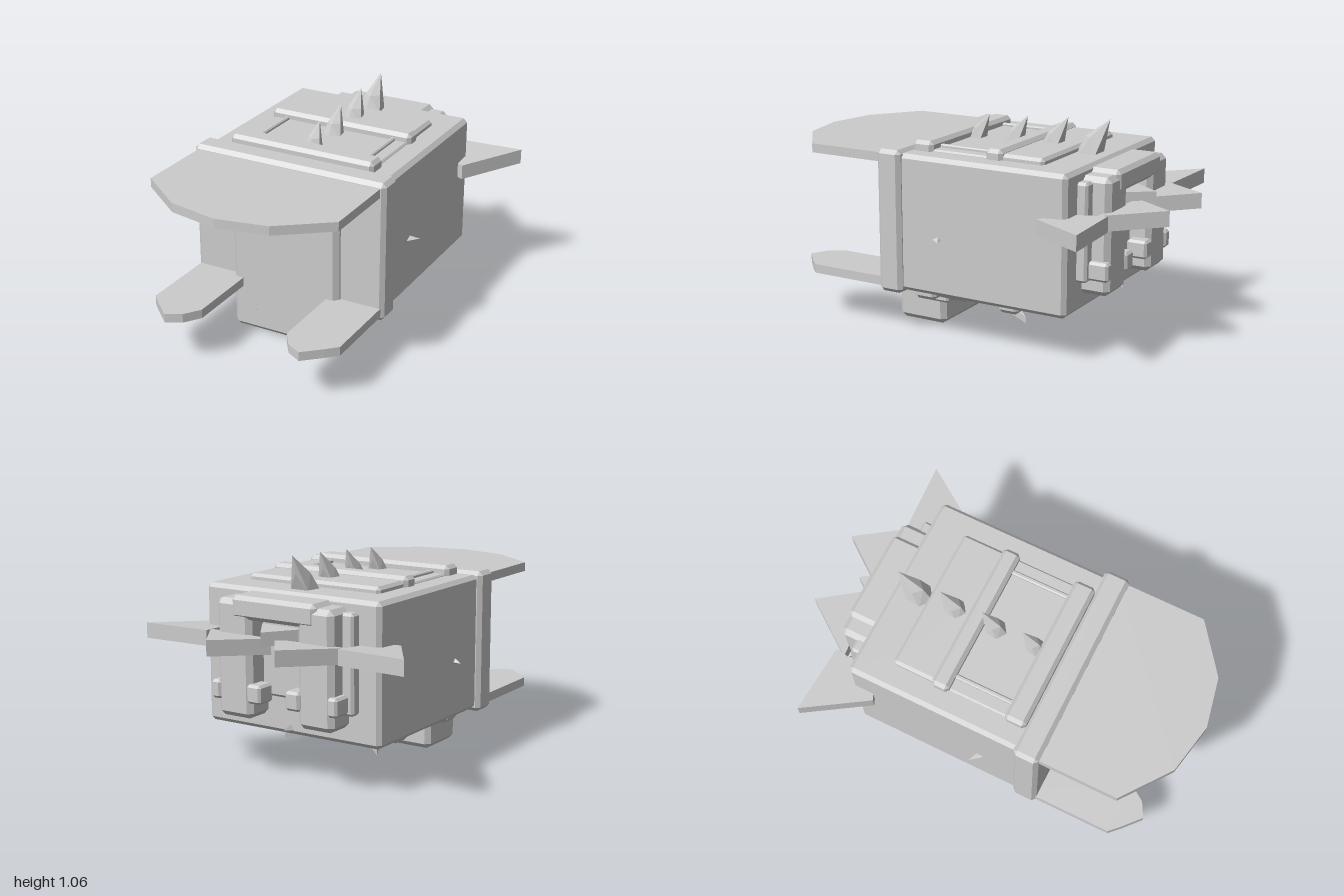
import * as THREE from 'three';
import { ConvexGeometry } from 'three/addons/geometries/ConvexGeometry.js';

export function createModel() {
  const model = new THREE.Group();
  model.name = 'armouredBody';
  const grey = new THREE.MeshStandardMaterial({ color: 0xcccccc, flatShading: true });
  grey.name = 'plain grey';

  const hull = (name, pts) => {
    const mesh = new THREE.Mesh(new ConvexGeometry(pts.map(p => new THREE.Vector3(...p))), grey);
    mesh.name = name;
    model.add(mesh);
    return mesh;
  };

  // Box with chamfered edges, given by its ranges on x, y and z
  const block = (name, x0, x1, y0, y1, z0, z1, c = 0.015) => {
    const pts = [];
    for (const x of [0, 1]) for (const y of [0, 1]) for (const z of [0, 1]) {
      for (let full = 0; full < 3; full++) {
        const inset = [c, c, c];
        inset[full] = 0;
        pts.push([
          x ? x1 - inset[0] : x0 + inset[0],
          y ? y1 - inset[1] : y0 + inset[1],
          z ? z1 - inset[2] : z0 + inset[2],
        ]);
      }
    }
    return hull(name, pts);
  };
  const wide = (name, w, y0, y1, z0, z1, c) => block(name, -w, w, y0, y1, z0, z1, c);

  // Flat plate from an outline of [x, z]; lift(z) gives the underside height
  const plate = (name, outline, lift, t) =>
    hull(name, outline.flatMap(([x, z]) => [[x, lift(z), z], [x, lift(z) + t, z]]));

  // Main shell, collar and front block
  wide('shell', 0.49, 0.22, 0.895, -0.63, 0.3, 0.02);
  wide('frontCollar', 0.515, 0.205, 0.912, 0.245, 0.375, 0.02);
  wide('frontBlock', 0.29, 0, 0.828, 0.14, 0.41, 0.025);
  wide('frontBlockStep', 0.305, 0.12, 0.25, 0.11, 0.3, 0.012);

  // Brim over the front
  plate('brim', [[-0.49, 0.32], [-0.49, 0.77], [-0.25, 0.95], [0, 1],
    [0.25, 0.95], [0.49, 0.77], [0.49, 0.32]], () => 0.845, 0.045);

  // Raised top panel with cross bars and rails
  wide('topPanel', 0.37, 0.86, 0.905, -0.3, 0.2, 0.008);
  wide('topRearPanel', 0.37, 0.86, 0.925, -0.45, -0.16, 0.015);
  wide('topFrontBar', 0.387, 0.86, 0.945, 0.14, 0.25, 0.018);
  wide('topRearBar', 0.387, 0.86, 0.945, -0.24, -0.15, 0.018);

  // Belly panel with cross bars
  wide('bellyPanel', 0.37, 0.19, 0.25, -0.44, 0.24, 0.01);
  wide('bellyFrontBar', 0.395, 0.155, 0.24, 0.13, 0.25, 0.018);
  wide('bellyMidBar', 0.36, 0.165, 0.24, -0.03, 0.14, 0.015);
  wide('bellyRearBar', 0.395, 0.16, 0.24, -0.33, -0.22, 0.018);

  // Rear arch
  wide('archBeam', 0.235, 0.77, 0.88, -0.77, -0.6, 0.02);
  wide('archBack', 0.35, 0.4, 0.8, -0.66, -0.6, 0.012);

  for (const s of [-1, 1]) {
    const side = (name, a, b, ...rest) => block(name, Math.min(s * a, s * b), Math.max(s * a, s * b), ...rest);
    side('topRail', 0.285, 0.308, 0.88, 0.92, -0.32, 0.16, 0.006);
    side('bellyRail', 0.27, 0.3, 0.165, 0.22, -0.28, 0.16, 0.006);

    // Rear posts with flanges and knobs
    side('rearPost', 0.13, 0.325, 0.3, 0.86, -0.765, -0.6, 0.025);
    side('rearFlange', 0.3, 0.38, 0.37, 0.84, -0.68, -0.6, 0.012);
    side('outerKnob', 0.3, 0.355, 0.38, 0.47, -0.775, -0.67, 0.012);
    side('innerKnob', 0.07, 0.15, 0.38, 0.47, -0.775, -0.67, 0.012);

    // Lower front paddles
    plate('paddle', [[0.23, 0.3], [0.23, 0.78], [0.285, 0.86], [0.36, 0.9],
      [0.45, 0.82], [0.5, 0.77], [0.5, 0.3]].map(([x, z]) => [s * x, z]), () => 0.23, 0.045);

    // Rear blades, rising slightly towards the back
    const rise = z => 0.61 + (-z - 0.5) * 0.06;
    plate('outerBlade', [[0.72, -0.8], [0.37, -0.78], [0.4, -0.55], [0.52, -0.5]]
      .map(([x, z]) => [s * x, z]), rise, 0.075);
    plate('innerBlade', [[0.19, -1], [0.385, -0.73], [0.01, -0.76]]
      .map(([x, z]) => [s * x, z]), rise, 0.075);

    // Belly blades splayed backwards
    plate('bellyBlade', [[0, 0.11], [0.07, 0.1], [0.27, -0.31], [0.03, -0.09]]
      .map(([x, z]) => [s * x, z]), z => 0.13 + (z - 0.1) * 0.115, 0.03);

    // Small side thorn and front stud
    hull('sideThorn', [[s * 0.535, 0.5, 0.02], [s * 0.48, 0.485, 0.05], [s * 0.48, 0.52, 0.05],
      [s * 0.48, 0.5, 0.09], [s * 0.48, 0.5, 0.03]]);
    hull('frontStud', [[s * 0.157, 0.12, 0.418], [s * 0.157 - 0.005, 0.115, 0.4],
      [s * 0.157 + 0.005, 0.115, 0.4], [s * 0.157, 0.127, 0.4]]);
  }

  // Middle rear point and small tail thorn
  plate('middleBlade', [[0, -0.85], [0.12, -0.68], [-0.12, -0.68]], () => 0.68, 0.065);
  hull('tailThorn', [[0, 0.255, -0.69], [-0.025, 0.24, -0.61], [0.025, 0.24, -0.61],
    [0, 0.275, -0.61], [0, 0.225, -0.61]]);

  // Row of back-swept spikes
  [[0.17, 0.05, 1.02], [-0.03, -0.165, 1.035], [-0.235, -0.385, 1.05], [-0.43, -0.605, 1.06]]
    .forEach(([front, tip, top], i) => {
      const w = 0.046 + i * 0.005, d = front - tip, mid = 0.9 + (top - 0.9) * 0.45;
      hull('backSpike', [
        [0, 0.89, front], [w, 0.89, front - d * 0.25], [-w, 0.89, front - d * 0.25],
        [w * 0.8, 0.89, front - d * 0.7], [-w * 0.8, 0.89, front - d * 0.7],
        [0, mid, front - d * 0.28], [w * 0.65, mid, front - d * 0.5], [-w * 0.65, mid, front - d * 0.5],
        [0, mid, front - d * 0.88], [0, top, tip],
      ]);
    });

  return model;
}
